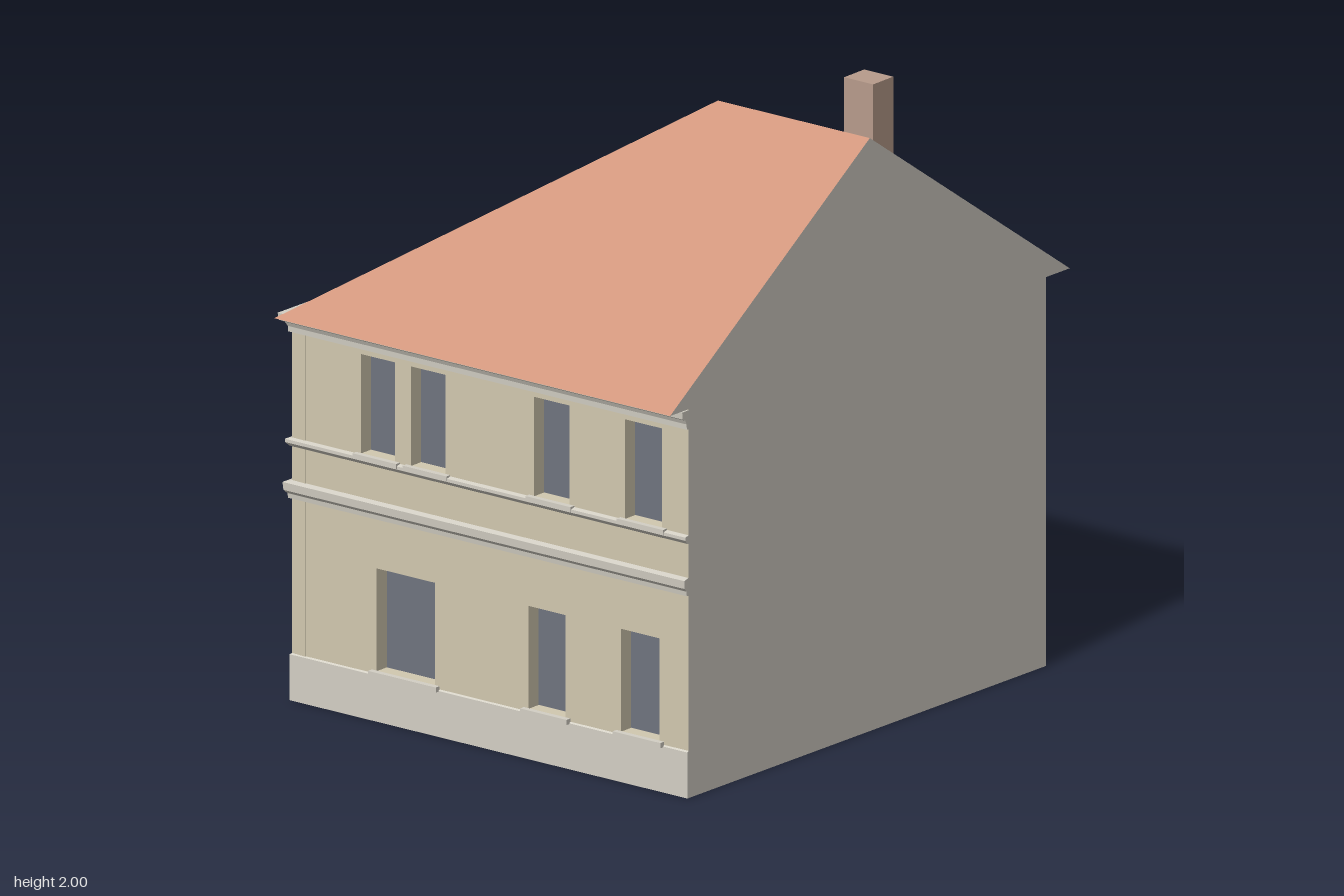
import * as THREE from 'three';

const mat = (color) => new THREE.MeshStandardMaterial({ color, flatShading: true, side: THREE.DoubleSide });
const M = {
  facade: mat(0xd2c9b0), side: mat(0xcfcac1), trim: mat(0xd4d0c5), roof: mat(0xd0967c),
  chimney: mat(0xb89c8c), glass: mat(0x70747f), ground: mat(0xcccccc),
};

// Slightly skewed ground plan, corners as (x, z)
const FL = [-0.76, 0.835], FR = [0.74, 0.835], BR = [0.78, -0.81], BL = [-0.71, -0.85];
const EAVES = 1.21, RIDGE = 1.845, REVEAL = 0.05;

function mesh(name, geo, material) {
  const m = new THREE.Mesh(geo, material);
  m.name = name;
  return m;
}

// Flat polygons (fans) from a few corner points
function faces(polys) {
  const pos = [];
  for (const p of polys)
    for (let i = 1; i < p.length - 1; i++) pos.push(...p[0], ...p[i], ...p[i + 1]);
  const g = new THREE.BufferGeometry();
  g.setAttribute('position', new THREE.Float32BufferAttribute(pos, 3));
  g.computeVertexNormals();
  return g;
}

function box(name, x0, x1, y0, y1, z0, z1, material) {
  const g = new THREE.BoxGeometry(x1 - x0, y1 - y0, z1 - z0);
  g.translate((x0 + x1) / 2, (y0 + y1) / 2, (z0 + z1) / 2);
  return mesh(name, g, material);
}

// Wall from corner a to b with recessed windows and sills; windows are [x0, x1, y0, y1] along the wall
function facade(name, a, b, windows) {
  const group = new THREE.Group();
  group.name = name;
  const dx = b[0] - a[0], dz = b[1] - a[1], len = Math.hypot(dx, dz);
  const shape = new THREE.Shape([[0, 0], [len, 0], [len, EAVES], [0, EAVES]].map((p) => new THREE.Vector2(...p)));
  for (const [x0, x1, y0, y1] of windows) {
    shape.holes.push(new THREE.Path([[x0, y0], [x0, y1], [x1, y1], [x1, y0]].map((p) => new THREE.Vector2(...p))));
    const pane = mesh('windowPane', new THREE.PlaneGeometry(x1 - x0, y1 - y0), M.glass);
    pane.position.set((x0 + x1) / 2, (y0 + y1) / 2, -REVEAL + 0.002);
    group.add(pane, box('windowSill', x0 - 0.018, x1 + 0.018, y0 - 0.014, y0 + 0.002, 0, 0.018, M.trim));
  }
  const wall = new THREE.ExtrudeGeometry(shape, { depth: REVEAL, bevelEnabled: false });
  wall.translate(0, 0, -REVEAL);
  group.add(mesh('wall', wall, M.facade));
  group.position.set(a[0], 0, a[1]);
  group.rotation.y = Math.atan2(-dz, dx);
  return group;
}

// Moulding swept along the left and front walls with a mitred corner; profile is [out, y] going up
function moulding(name, profile) {
  const normal = (a, b) => new THREE.Vector2(a[1] - b[1], b[0] - a[0]).normalize();
  const n1 = normal(BL, FL), n2 = normal(FL, FR);
  const mitre = n1.clone().add(n2).divideScalar(1 + n1.dot(n2));
  const stations = [[BL, n1], [FL, mitre], [FR, n2]];
  const at = ([c, n], out, y) => [c[0] + n.x * out, y, c[1] + n.y * out];
  const polys = [];
  for (let i = 0; i < profile.length - 1; i++) {
    const p = profile[i], q = profile[i + 1];
    for (let s = 0; s < 2; s++) {
      const A = stations[s], B = stations[s + 1];
      polys.push([at(A, ...p), at(B, ...p), at(B, ...q), at(A, ...q)]);
    }
    const [S, , E] = stations;
    polys.push([at(S, 0, p[1]), at(S, ...p), at(S, ...q), at(S, 0, q[1])]);
    polys.push([at(E, 0, p[1]), at(E, 0, q[1]), at(E, ...q), at(E, ...p)]);
  }
  return mesh(name, faces(polys), M.trim);
}

export function createModel() {
  const house = new THREE.Group();
  house.name = 'house';

  // Street fronts: x ranges converted to distance along the wall
  const along = (o, list) => list.map(([a, b, y0, y1]) => [a - o, b - o, y0, y1]);
  const upper = [0.82, 1.13], lower = [0.155, 0.475];
  house.add(facade('frontFacade', FL, FR, along(FL[0], [
    [-0.5, -0.37, ...upper], [-0.31, -0.18, ...upper], [0.155, 0.29, ...upper], [0.5, 0.64, ...upper],
    [-0.44, -0.22, ...lower], [0.135, 0.275, ...lower], [0.485, 0.63, ...lower],
  ])));
  house.add(facade('rightFacade', BL, FL, along(BL[1], [
    [-0.59, -0.45, ...upper], [-0.4, -0.25, ...upper], [0.31, 0.46, ...upper], [-0.54, -0.23, 0.25, 0.475],
  ])));

  // Blank party walls and underside
  const at = (c, y) => [c[0], y, c[1]];
  const wall = (a, b) => faces([[at(a, 0), at(b, 0), at(b, EAVES), at(a, EAVES)]]);
  house.add(mesh('leftWall', wall(FR, BR), M.side));
  house.add(mesh('backWall', wall(BR, BL), M.side));
  house.add(mesh('underside', faces([[at(FL, 0), at(BL, 0), at(BR, 0), at(FR, 0)]]), M.ground));

  // Plinth, string courses and cornice
  house.add(moulding('plinth', [[0, 0], [0.005, 0], [0.005, 0.143], [0, 0.147]]));
  house.add(moulding('stringCourse', [[0, 0.63], [0.008, 0.63], [0.01, 0.645], [0.018, 0.655], [0.02, 0.68], [0, 0.685]]));
  house.add(moulding('sillCourse', [[0, 0.79], [0.006, 0.793], [0.015, 0.804], [0.015, 0.814], [0, 0.818]]));
  house.add(moulding('cornice', [[0, 1.148], [0.008, 1.148], [0.009, 1.165], [0.015, 1.178], [0.028, 1.185], [0.03, 1.207], [0, 1.207]]));

  // Roof hipped at one end, with a flush gable at the other
  const fl = [-0.76, EAVES, 0.92], fr = [0.738, EAVES, 0.92], br = [0.783, EAVES, -0.92], bl = [-0.71, EAVES, -0.92];
  const hip = [0.185, RIDGE, 0], end = [0.76, RIDGE, 0];
  house.add(mesh('roof', faces([[fl, fr, end, hip], [br, bl, hip, end], [bl, fl, hip], [fl, bl, br, fr]]), M.roof));
  house.add(mesh('gable', faces([[fr, br, end]]), M.side));

  // Chimney
  house.add(box('chimney', 0.635, 0.745, 1.72, 2, -0.13, -0.035, M.chimney));
  return house;
}
